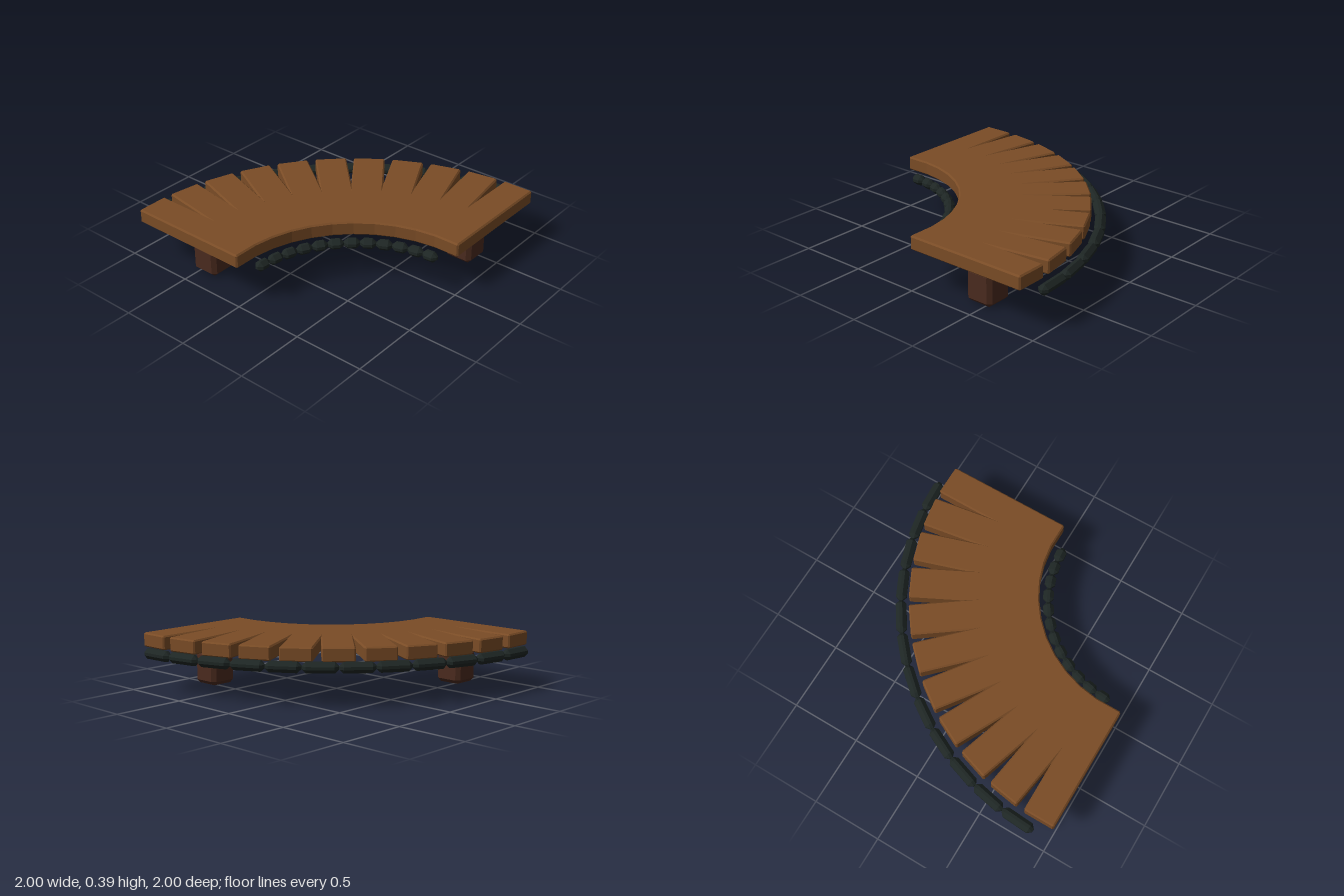
import * as THREE from 'three';
import { ConvexGeometry } from 'three/addons/geometries/ConvexGeometry.js';

// Box whose edges and corners are all cut by a flat chamfer c
function chamferBox(w, h, d, c) {
  const points = [];
  for (const sx of [-1, 1]) for (const sy of [-1, 1]) for (const sz of [-1, 1]) {
    const x = w / 2, y = h / 2, z = d / 2;
    points.push(
      new THREE.Vector3(sx * x, sy * (y - c), sz * (z - c)),
      new THREE.Vector3(sx * (x - c), sy * y, sz * (z - c)),
      new THREE.Vector3(sx * (x - c), sy * (y - c), sz * z)
    );
  }
  return new ConvexGeometry(points);
}

export function createModel() {
  const model = new THREE.Group();
  model.name = 'curvedWalkway';

  const mat = (color) => new THREE.MeshStandardMaterial({ color, flatShading: true });
  const plankMat = mat(0x7a4c26);
  const postMat = mat(0x4a2a1e);
  const railMat = mat(0x1e2624);

  // Everything follows a quarter circle around this centre
  const cx = -0.888, cz = 0.888;
  function placeOnArc(name, geometry, material, radius, angle, y) {
    const mesh = new THREE.Mesh(geometry, material);
    mesh.name = name;
    mesh.position.set(cx + radius * Math.sin(angle), y, cz - radius * Math.cos(angle));
    mesh.rotation.y = -angle;
    return mesh;
  }

  // Deck: eleven planks fanned over 90 degrees, overlapping on the inside
  const deck = new THREE.Group();
  deck.name = 'deck';
  const plank = chamferBox(0.224, 0.1, 0.9, 0.01);
  for (let i = 0; i <= 10; i++) {
    deck.add(placeOnArc('plank', plank, plankMat, 1.338, (i / 10) * Math.PI / 2, 0.341));
  }
  model.add(deck);

  // Edge rails: twelve chamfered links each, along the inner and outer curve
  const links = 12, step = Math.PI / 2 / links;
  for (const [name, radius] of [['innerRail', 0.824], ['outerRail', 1.85]]) {
    const rail = new THREE.Group();
    rail.name = name;
    const length = 2 * radius * Math.sin(step / 2);
    const link = chamferBox(length, 0.074, 0.074, 0.027);
    for (let i = 0; i < links; i++) {
      rail.add(placeOnArc('railLink', link, railMat, radius, (i + 0.5) * step, 0.271));
    }
    model.add(rail);
  }

  // Square support posts under each end
  const post = chamferBox(0.204, 0.236, 0.204, 0.027);
  for (const [x, z] of [[-0.77, -0.45], [0.45, 0.77]]) {
    const mesh = new THREE.Mesh(post, postMat);
    mesh.name = 'supportPost';
    mesh.position.set(x, 0.118, z);
    model.add(mesh);
  }

  return model;
}
